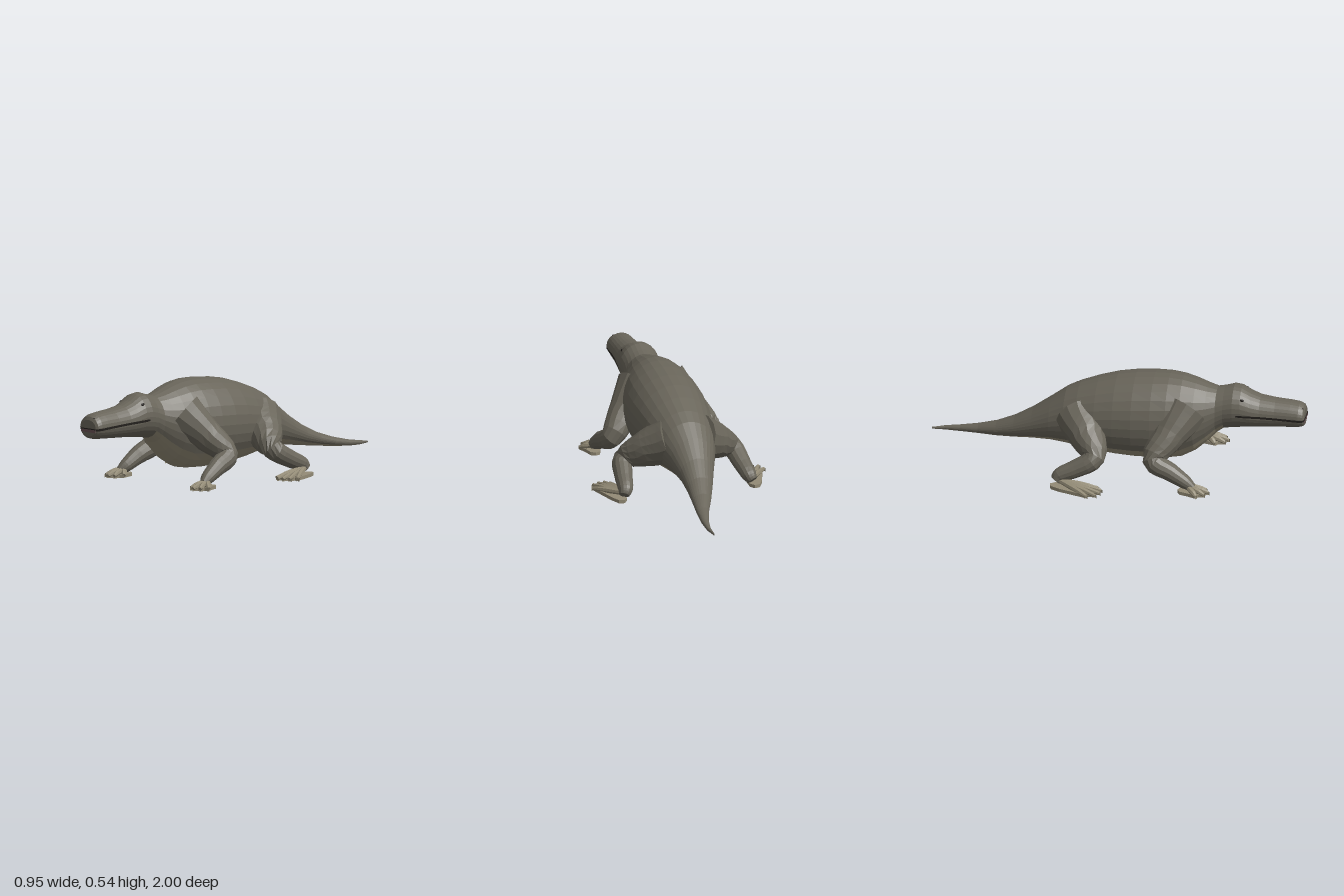
import * as THREE from 'three';

const mat = (name, color, side = THREE.FrontSide) => {
  const m = new THREE.MeshStandardMaterial({ color, side });
  m.name = name;
  return m;
};

// Body cross-sections from tail to snout: z, centre x, top y, bottom y, half width
const SECTIONS = [
  [-1.0, 0.08, 0.072, 0.062, 0.003], [-0.93, 0.088, 0.083, 0.06, 0.011], [-0.85, 0.083, 0.096, 0.062, 0.02],
  [-0.75, 0.066, 0.12, 0.07, 0.034], [-0.65, 0.042, 0.155, 0.08, 0.052], [-0.55, 0.022, 0.205, 0.092, 0.07],
  [-0.45, 0.008, 0.27, 0.105, 0.092], [-0.35, 0, 0.345, 0.11, 0.122], [-0.27, 0, 0.405, 0.102, 0.148],
  [-0.2, 0, 0.44, 0.092, 0.168], [-0.1, 0, 0.478, 0.075, 0.19], [0, 0, 0.508, 0.065, 0.203],
  [0.1, 0, 0.526, 0.06, 0.21], [0.2, 0, 0.535, 0.06, 0.207], [0.28, 0, 0.537, 0.064, 0.197],
  [0.35, 0, 0.53, 0.076, 0.182], [0.42, 0, 0.511, 0.115, 0.16], [0.48, 0, 0.49, 0.17, 0.132],
  [0.53, 0, 0.476, 0.225, 0.108], [0.57, 0, 0.484, 0.255, 0.104], [0.62, 0, 0.5, 0.262, 0.107],
  [0.66, 0, 0.495, 0.267, 0.103], [0.71, 0, 0.466, 0.272, 0.095], [0.76, 0, 0.447, 0.277, 0.086],
  [0.84, 0, 0.436, 0.282, 0.078], [0.92, 0, 0.43, 0.287, 0.075], [0.965, 0, 0.424, 0.291, 0.073],
  [0.988, 0, 0.412, 0.297, 0.066], [0.996, 0, 0.395, 0.308, 0.054],
];

// Half width of the body surface at a given z and y
function surfaceX(z, y) {
  let i = 0;
  while (i < SECTIONS.length - 2 && SECTIONS[i + 1][0] < z) i++;
  const a = SECTIONS[i], b = SECTIONS[i + 1], t = (z - a[0]) / (b[0] - a[0]);
  const [, , top, bottom, w] = a.map((v, k) => v + (b[k] - v) * t);
  const s = (y - (top + bottom) / 2) / ((top - bottom) / 2);
  return w * Math.sqrt(Math.max(0, 1 - s * s));
}

// Faceted skin over rings; isSecond(ring, side) picks faces for the second material
function skin(rings, isSecond = () => false) {
  const n = rings[0].length, pos = [], first = [], second = [];
  rings.forEach(r => r.forEach(p => pos.push(p.x, p.y, p.z)));
  for (let i = 0; i < rings.length - 1; i++) {
    for (let j = 0; j < n; j++) {
      const a = i * n + j, b = i * n + (j + 1) % n;
      (isSecond(i, j) ? second : first).push(a, b, b + n, a, b + n, a + n);
    }
  }
  [0, rings.length - 1].forEach((i, end) => {
    const c = rings[i].reduce((s, p) => s.add(p), new THREE.Vector3()).divideScalar(n);
    const k = pos.length / 3;
    pos.push(c.x, c.y, c.z);
    for (let j = 0; j < n; j++) {
      const a = i * n + j, b = i * n + (j + 1) % n;
      if (end) first.push(k, a, b); else first.push(k, b, a);
    }
  });
  let g = new THREE.BufferGeometry();
  g.setAttribute('position', new THREE.Float32BufferAttribute(pos, 3));
  g.setIndex([...first, ...second]);
  g = g.toNonIndexed();
  g.computeVertexNormals();
  g.addGroup(0, first.length, 0);
  if (second.length) g.addGroup(first.length, second.length, 1);
  return g;
}

// Tapered limb through points given as [x, y, z, radius]
function limb(points, steps, sides) {
  const curve = new THREE.CatmullRomCurve3(points.map(p => new THREE.Vector3(p[0], p[1], p[2])));
  const rings = [], xAxis = new THREE.Vector3(1, 0, 0);
  for (let i = 0; i <= steps; i++) {
    const f = i / steps, s = f * (points.length - 1);
    const k = Math.min(Math.floor(s), points.length - 2);
    const r = THREE.MathUtils.lerp(points[k][3], points[k + 1][3], s - k);
    const c = curve.getPoint(f), t = curve.getTangent(f);
    const u = t.clone().cross(xAxis).normalize(), v = t.clone().cross(u);
    rings.push(Array.from({ length: sides }, (_, j) => {
      const a = j / sides * Math.PI * 2;
      return c.clone().addScaledVector(u, r * Math.cos(a)).addScaledVector(v, r * Math.sin(a));
    }));
  }
  return skin(rings);
}

export function createModel() {
  const model = new THREE.Group();
  const hide = mat('hide', 0x69655a), pale = mat('pale belly', 0x938b76);
  const dark = mat('dark', 0x24211e, THREE.DoubleSide), gum = mat('gum', 0x6b5356);
  const add = (name, geometry, material, parent = model) => {
    const m = new THREE.Mesh(geometry, material);
    m.name = name;
    parent.add(m);
    return m;
  };

  // Body, head and tail in one skin with a pale underside
  const N = 28;
  const rings = SECTIONS.map(([z, cx, top, bottom, w]) => Array.from({ length: N }, (_, j) => {
    const a = j / N * Math.PI * 2;
    return new THREE.Vector3(cx + w * Math.cos(a), (top + bottom) / 2 + (top - bottom) / 2 * Math.sin(a), z);
  }));
  const underside = (i, j) => SECTIONS[i][0] < 0.56 && Math.sin((j + 0.5) / N * Math.PI * 2) < -0.62;
  add('body', skin(rings, underside), [hide, pale]);

  // Mouth opening at the snout tip
  add('mouthFront', new THREE.BoxGeometry(0.104, 0.016, 0.006), gum).position.set(0, 0.338, 0.995);
  add('mouthLine', new THREE.BoxGeometry(0.112, 0.005, 0.007), dark).position.set(0, 0.348, 0.9955);

  // Foot: a flat sole with fanned toes
  function foot(name, side, heel, tips, back) {
    const g = new THREE.Group();
    g.name = name;
    model.add(g);
    const outline = [...back];
    tips.forEach(([x, z], i) => {
      const next = tips[i + 1], dx = (x - heel[0]) * 0.05, dz = (z - heel[1]) * 0.05;
      outline.push([x - dz * 0.8, z + dx * 0.8 - dz], [x, z], [x + dz * 0.8, z - dx * 0.8 - dz]);
      if (next) {
        outline.push([0, 1].map(k => heel[k] + ((tips[i][k] + next[k]) / 2 - heel[k]) * 0.8));
      }
    });
    const shape = new THREE.Shape(outline.map(([x, z]) => new THREE.Vector2(x * side, -z)));
    const sole = new THREE.ExtrudeGeometry(shape, { depth: 0.018, bevelEnabled: false });
    add('sole', sole.rotateX(-Math.PI / 2), pale, g);
    tips.forEach(([x, z]) => {
      const mid = [0, 1].map(k => heel[k] + ([x, z][k] - heel[k]) * 0.6);
      add('toe', limb([
        [heel[0] * side, 0.042, heel[1], 0.014],
        [mid[0] * side, 0.027, mid[1], 0.016],
        [x * side * 0.995, 0.014, z - 0.006, 0.009],
      ], 5, 7), pale, g);
    });
  }

  for (const side of [1, -1]) {
    const label = side > 0 ? 'left' : 'right';
    const mirror = pts => pts.map(([x, ...rest]) => [x * side, ...rest]);

    // Legs
    add(label + 'FrontLeg', limb(mirror([
      [0.07, 0.36, 0.37, 0.13], [0.17, 0.265, 0.305, 0.088], [0.268, 0.155, 0.235, 0.058],
      [0.29, 0.105, 0.33, 0.048], [0.3, 0.055, 0.415, 0.035], [0.308, 0.032, 0.45, 0.022],
    ]), 20, 14), hide);
    add(label + 'HindLeg', limb(mirror([
      [0.07, 0.28, -0.19, 0.13], [0.18, 0.225, -0.13, 0.1], [0.295, 0.155, -0.075, 0.056],
      [0.322, 0.1, -0.165, 0.048], [0.337, 0.06, -0.25, 0.04], [0.35, 0.035, -0.27, 0.028],
    ]), 20, 14), hide);

    // Feet
    foot(label + 'FrontFoot', side, [0.303, 0.415],
      [[0.372, 0.482], [0.347, 0.522], [0.314, 0.54], [0.282, 0.525], [0.258, 0.475]],
      [[0.275, 0.41], [0.285, 0.38], [0.31, 0.37], [0.335, 0.385], [0.345, 0.42]]);
    foot(label + 'HindFoot', side, [0.355, -0.25],
      [[0.468, -0.08], [0.452, -0.035], [0.42, -0.018], [0.386, -0.015], [0.36, -0.035]],
      [[0.338, -0.2], [0.335, -0.27], [0.355, -0.298], [0.385, -0.29], [0.41, -0.24]]);

    // Mouth slit along the jaw
    const strip = [], index = [];
    const stops = [0.64, ...SECTIONS.map(s => s[0]).filter(z => z > 0.65)];
    stops.forEach((z, i) => {
      const y = 0.365 - (z - 0.64) * 0.055, h = i ? 0.006 : 0.003;
      for (const d of [h, -h]) strip.push(side * (surfaceX(z, y + d) + 0.002), y + d, z);
      if (i) index.push(2 * i - 2, 2 * i - 1, 2 * i, 2 * i, 2 * i - 1, 2 * i + 1);
    });
    const slit = new THREE.BufferGeometry();
    slit.setAttribute('position', new THREE.Float32BufferAttribute(strip, 3));
    slit.setIndex(index);
    slit.computeVertexNormals();
    add(label + 'MouthSlit', slit, dark);

    // Eye and nostril
    const eye = add(label + 'Eye', new THREE.SphereGeometry(0.01, 10, 8), dark);
    eye.scale.set(0.5, 0.8, 1.2);
    eye.position.set(side * surfaceX(0.67, 0.448), 0.448, 0.67);
    const nostril = add(label + 'Nostril', new THREE.SphereGeometry(0.005, 8, 6), dark);
    nostril.position.set(side * 0.032, 0.403, 0.985);
  }
  return model;
}
